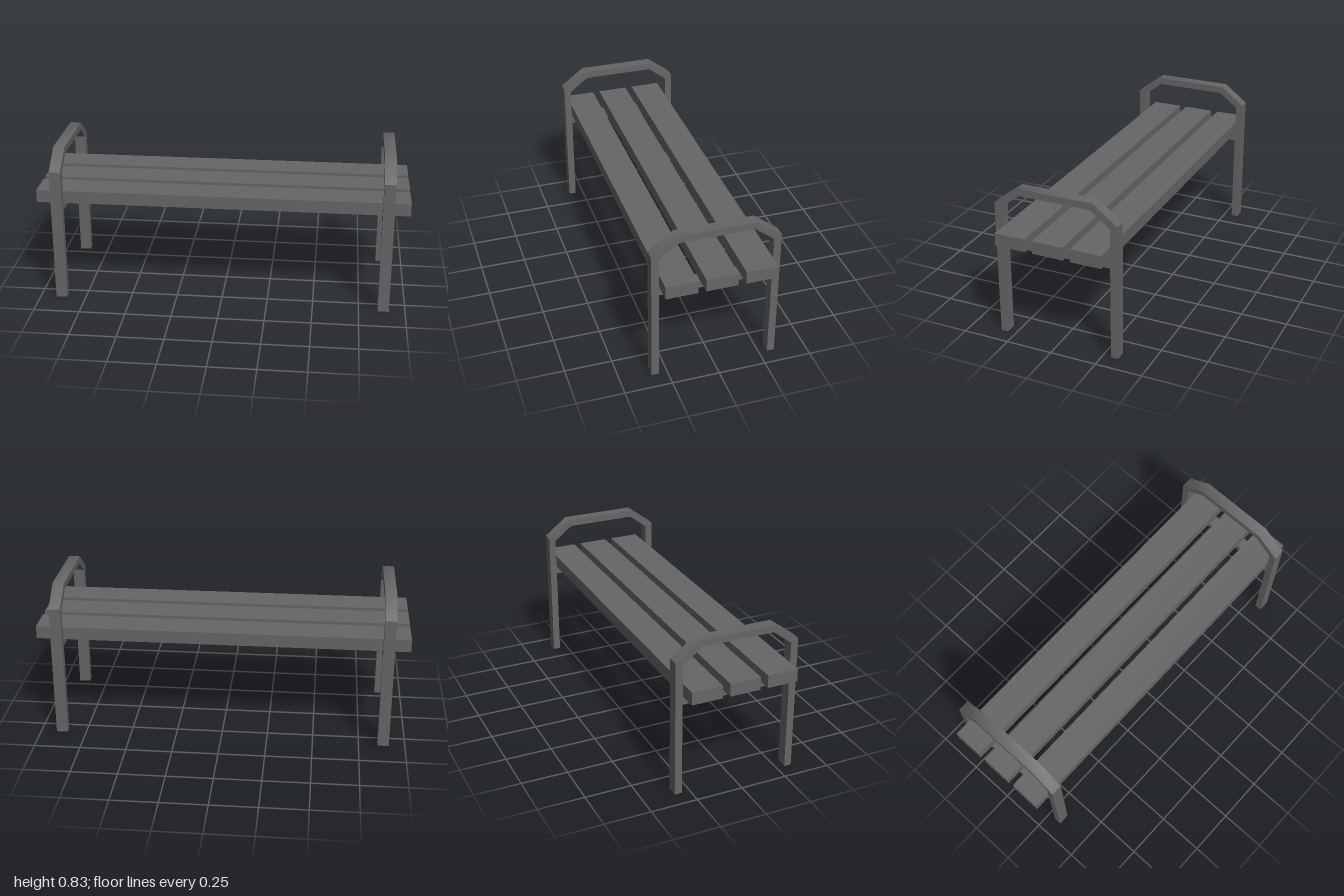
import * as THREE from 'three';
import { toCreasedNormals } from 'three/addons/utils/BufferGeometryUtils.js';

const material = new THREE.MeshStandardMaterial({ color: 0x666666 });

function addBox(group, name, size, position) {
  const mesh = new THREE.Mesh(new THREE.BoxGeometry(...size), material);
  mesh.name = name;
  mesh.position.set(...position);
  group.add(mesh);
}

// Legs and armrest as one bent bar, drawn in the z-y plane and extruded along x
function frameGeometry(width) {
  const outer = [[0.334, 0], [0.334, 0.736], [0.205, 0.834]];
  const inner = [[0.193, 0.796], [0.295, 0.717], [0.295, 0]];
  const mirror = (points) => points.map(([z, y]) => [-z, y]).reverse();
  const outline = [...outer, ...mirror(outer), ...mirror(inner), ...inner];
  const shape = new THREE.Shape(outline.map(([z, y]) => new THREE.Vector2(z, y)));
  const geometry = new THREE.ExtrudeGeometry(shape, { depth: width, bevelEnabled: false });
  geometry.translate(0, 0, -width / 2).rotateY(Math.PI / 2);
  // Smooth the shallow upper bends, keep the steeper lower ones sharp
  return toCreasedNormals(geometry, THREE.MathUtils.degToRad(45));
}

export function createModel() {
  const bench = new THREE.Group();
  bench.name = 'bench';

  // Side frames with the crossbar that carries the seat
  const geometry = frameGeometry(0.061);
  for (const [side, x] of [['left', 0.883], ['right', -0.883]]) {
    const frame = new THREE.Mesh(geometry, material);
    frame.name = `${side}LegFrame`;
    frame.position.x = x;
    bench.add(frame);
    addBox(bench, `${side}Crossbar`, [0.061, 0.039, 0.59], [x, 0.5255, 0]);
  }

  // Three seat planks
  ['back', 'middle', 'front'].forEach((place, i) => {
    addBox(bench, `${place}SeatPlank`, [2, 0.069, 0.166], [0, 0.5795, (i - 1) * 0.206]);
  });

  return bench;
}
